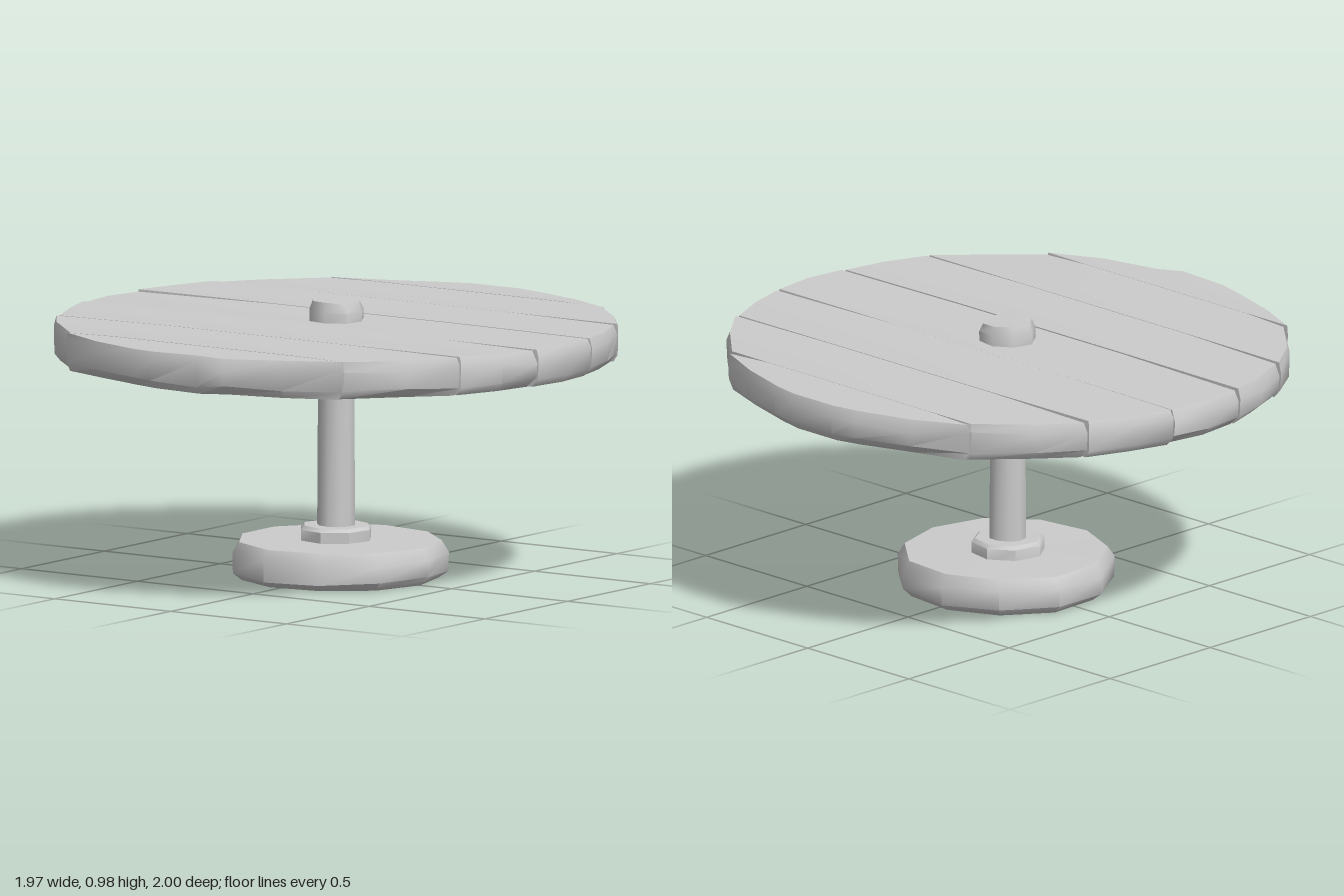
import * as THREE from 'three';
import { toCreasedNormals } from 'three/addons/utils/BufferGeometryUtils.js';

const material = new THREE.MeshStandardMaterial({ color: 0xcccccc });

// Seeded noise in 0..1
let seed = 7;
const rand = () => (seed = (seed * 16807) % 2147483647) / 2147483647;

// Closed solid from rings listed bottom to top, each counter-clockwise from above
function stack(rings, crease = 0.75) {
  const pos = [];
  const tri = (...pts) => pts.forEach((p) => pos.push(p.x, p.y, p.z));
  const n = rings[0].length;
  const centre = (r) => r.reduce((s, p) => s.add(p), new THREE.Vector3()).divideScalar(n);
  const low = rings[0], top = rings[rings.length - 1];
  const lowC = centre(low), topC = centre(top);
  for (let j = 0; j < n; j++) {
    const k = (j + 1) % n;
    for (let i = 0; i + 1 < rings.length; i++) {
      const a = rings[i], b = rings[i + 1];
      tri(a[j], a[k], b[k]);
      tri(a[j], b[k], b[j]);
    }
    tri(lowC, low[k], low[j]);
    tri(topC, top[j], top[k]);
  }
  const geo = new THREE.BufferGeometry();
  geo.setAttribute('position', new THREE.Float32BufferAttribute(pos, 3));
  return toCreasedNormals(geo, crease);
}

function addMesh(parent, name, geo) {
  const mesh = new THREE.Mesh(geo, material);
  mesh.name = name;
  parent.add(mesh);
  return mesh;
}

// Hand-carved round block: profile holds [radius, y, y wear]
function carved(profile, sides, wobble, crease) {
  const spread = Array.from({ length: sides }, () => 1 - wobble * rand());
  return stack(profile.map(([r, y, wear = 0]) => spread.map((s, j) => {
    const a = ((j + 0.25) / sides) * Math.PI * 2;
    return new THREE.Vector3(r * s * Math.cos(a), y - wear * rand(), -r * s * Math.sin(a));
  })), crease);
}

// One plank of the round top, running along z between x0 and x1
const RX = 0.985;
function plank(x0, x1) {
  const xs = x0 < -0.8 ? [-RX, -0.965, -0.9, x1]
    : x1 > 0.8 ? [x0, 0.9, 0.965, RX] : [x0, (x0 + x1) / 2, x1];
  const mid = (x0 + x1) / 2;
  const rim = (x) => Math.max(0.1, Math.sqrt(Math.max(0, 1 - (x / RX) ** 2)));
  const isSeam = (x) => Math.abs(x) < 0.8 && (x === x0 || x === x1);

  // Outline points: front rim, right seam, back rim, left seam
  const outline = xs.map((x) => [x, rim(x), true]);
  if (isSeam(x1)) outline.push([x1, 0.4, false], [x1, -0.4, false]);
  outline.push(...[...xs].reverse().map((x) => [x, -rim(x), true]));
  if (isSeam(x0)) outline.push([x0, -0.4, false], [x0, 0.4, false]);

  const wear = outline.map(() => rand());
  const lift = rand() * 0.005;
  // Each layer: height, rim inset, seam opening at the ends, wear depth
  const layers = [[0.778, 0.035, 0.006, 0], [0.802, 0.004, 0.004, -0.012],
    [0.892, 0, 0.004, 0.035], [0.912, 0.014, 0.008, 0.008]];
  return stack(layers.map(([y, inset, gap, dip], i) => outline.map(([x, z, atRim], j) => {
    const scale = atRim ? 1 - inset * (0.6 + 0.8 * wear[j]) : 1;
    const open = isSeam(x) ? Math.sign(mid - x) * (atRim ? gap : 0.0015) : 0;
    const px = isSeam(x) ? x + open : x * scale;
    return new THREE.Vector3(px, y - (atRim ? dip * wear[j] : 0) + (i > 1 ? lift : 0), z * scale);
  })));
}

export function createModel() {
  seed = 7;
  const table = new THREE.Group();
  table.name = 'roundTable';

  // Table top
  const top = new THREE.Group();
  top.name = 'tableTop';
  const seams = [-RX, -0.79, -0.475, -0.16, 0.165, 0.48, 0.79, RX];
  for (let i = 0; i + 1 < seams.length; i++) {
    addMesh(top, `plank${i + 1}`, plank(seams[i], seams[i + 1]));
  }
  table.add(top);

  // Peg showing through the middle of the top
  addMesh(table, 'centrePeg', carved(
    [[0.103, 0.9], [0.104, 0.955, 0.01], [0.09, 0.984, 0.012]], 8, 0.06, 0.9));

  // Post with its collars
  addMesh(table, 'upperCollar', carved(
    [[0.085, 0.72], [0.1, 0.74, 0.008], [0.102, 0.79]], 8, 0.06, 0.9));
  addMesh(table, 'post', carved([[0.07, 0.15], [0.066, 0.78]], 10, 0.05, 0.9));
  addMesh(table, 'lowerCollar', carved(
    [[0.135, 0.12], [0.135, 0.172], [0.122, 0.187, 0.004]], 8, 0.05));

  // Heavy round foot
  const foot = addMesh(table, 'foot', carved(
    [[0.355, 0], [0.388, 0.02, -0.012], [0.39, 0.105, 0.03], [0.365, 0.135, 0.004]], 11, 0.03, 0.9));
  foot.position.z = 0.01;

  return table;
}
